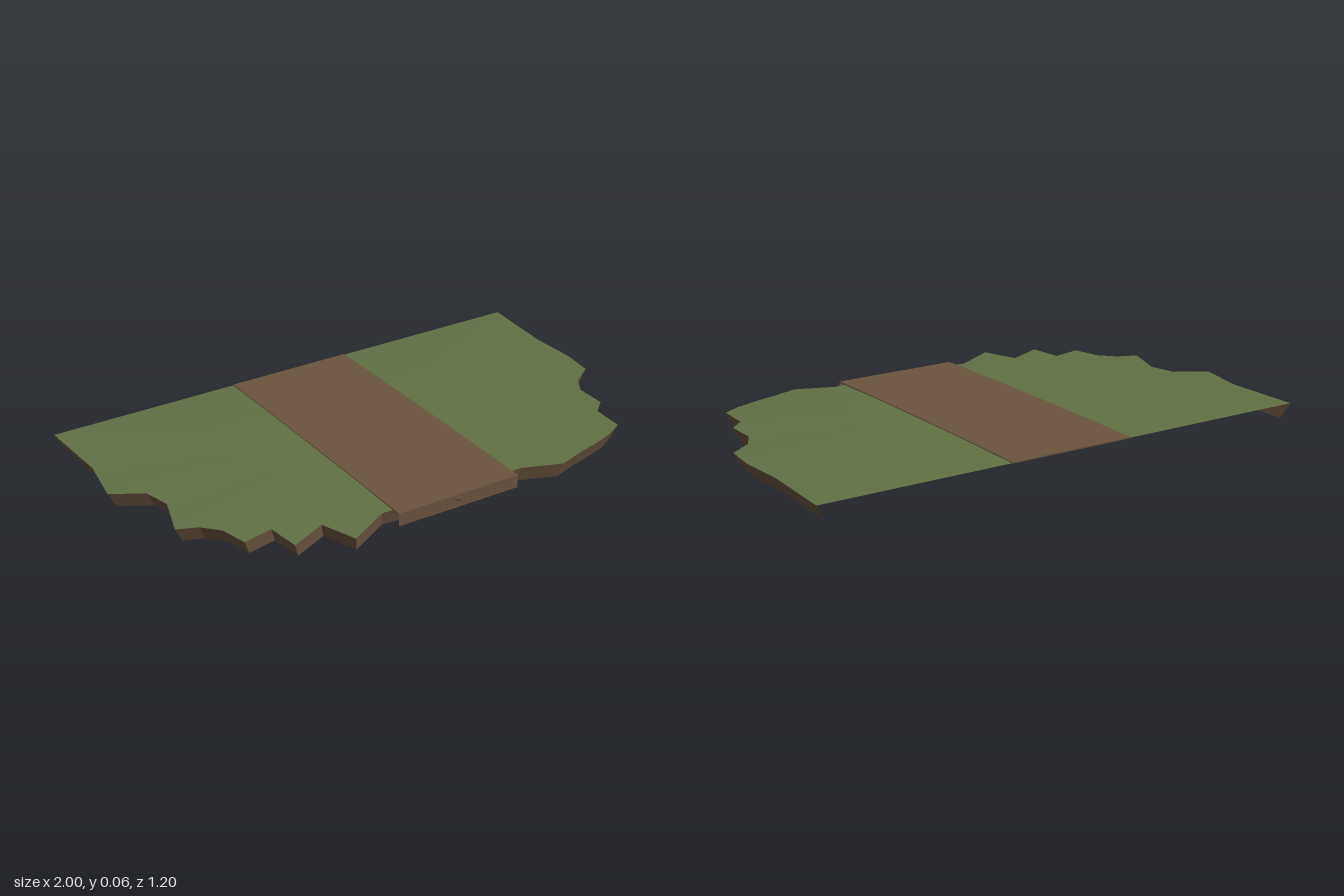
import * as THREE from 'three';

const grass = new THREE.MeshStandardMaterial({ color: 0x607044, side: THREE.DoubleSide });
grass.name = 'grass green';
const earth = new THREE.MeshStandardMaterial({ color: 0x6b5440, side: THREE.DoubleSide });
earth.name = 'earth brown';

// Ragged rim as [x, z], from the back right corner round the front to the back left
const rim = [
  [-0.975, -0.6], [-0.965, -0.3], [-1, -0.11], [-0.885, -0.04], [-0.86, 0.06], [-0.915, 0.225],
  [-0.84, 0.255], [-0.785, 0.315], [-0.76, 0.42], [-0.645, 0.395], [-0.63, 0.525], [-0.49, 0.46],
  [-0.44, 0.597], [-0.28, 0.505], [-0.2, 0.51], [0.01, 0.55], [0.2, 0.505], [0.3, 0.505],
  [0.445, 0.56], [0.55, 0.525], [0.63, 0.505], [0.72, 0.475], [0.79, 0.435], [0.795, 0.31],
  [0.85, 0.26], [0.85, 0.14], [0.89, 0.07], [0.975, 0.01], [0.99, -0.11], [0.98, -0.3], [0.998, -0.6],
];

// Joins successive rows of points with flat faces
function loft(name, rows, material, closed = false) {
  const pos = [];
  for (let r = 0; r + 1 < rows.length; r++) {
    const p = rows[r], q = rows[r + 1], n = p.length;
    for (let i = 0; i < (closed ? n : n - 1); i++) {
      const j = (i + 1) % n;
      pos.push(...p[i], ...q[i], ...q[j], ...p[i], ...q[j], ...p[j]);
    }
  }
  const geometry = new THREE.BufferGeometry();
  geometry.setAttribute('position', new THREE.Float32BufferAttribute(pos, 3));
  geometry.computeVertexNormals();
  const mesh = new THREE.Mesh(geometry, material);
  mesh.name = name;
  return mesh;
}

// The rim scaled towards the centre at a given height
const ring = (scale, y) => rim.map(([x, z]) => [x * scale, y, z * scale]);

export function createModel() {
  const group = new THREE.Group();
  group.name = 'groundTile';

  // Gently domed turf; the rim dips a little at the end of the path
  const edge = ring(1, 0.055);
  edge[15][1] = 0.045;
  group.add(loft('turf', [ring(0, 0.06), ring(0.5, 0.059), edge], grass, true));

  // Earth skirt leaning inwards, open at the back and underneath
  group.add(loft('earthSkirt', [edge, ring(0.97, 0)], earth));

  // Path laid over the turf, turned down at the front
  const section = (z, y, low = y - 0.004) =>
    [[-0.237, low, z], [-0.237, y, z], [0.257, y, z], [0.257, low, z]];
  group.add(loft('path', [
    section(-0.6, 0.053, 0.053), section(-0.6, 0.058), section(-0.3, 0.0615), section(0, 0.0625),
    section(0.3, 0.0615), section(0.545, 0.059), section(0.545, 0.01, 0.01),
  ], earth));

  return group;
}
